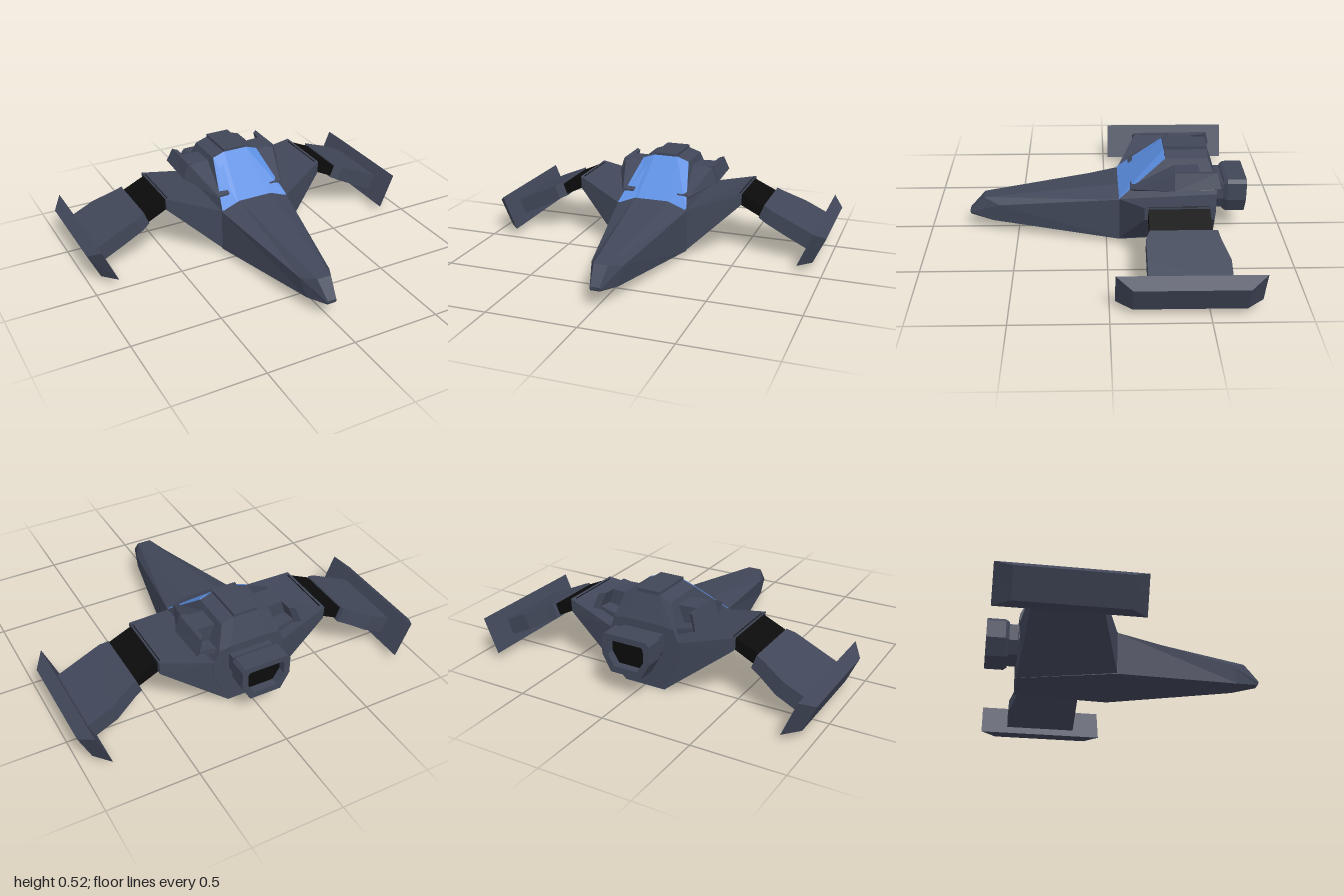
import * as THREE from 'three';

const mat = (name, color) => {
  const m = new THREE.MeshStandardMaterial({ color });
  m.name = name;
  m.flatShading = true;
  return m;
};

// Closed solid through matching rings of [x, y, z]; winding is corrected by signed volume
function loft(rings) {
  const tris = [];
  const n = rings[0].length;
  for (let r = 0; r < rings.length - 1; r++) {
    for (let i = 0; i < n; i++) {
      const j = (i + 1) % n;
      const [a, b, c, d] = [rings[r][i], rings[r][j], rings[r + 1][j], rings[r + 1][i]];
      tris.push([a, b, c], [a, c, d]);
    }
  }
  const first = rings[0], last = rings[rings.length - 1];
  for (let i = 1; i < n - 1; i++) {
    tris.push([first[0], first[i + 1], first[i]], [last[0], last[i], last[i + 1]]);
  }
  const v = (p) => new THREE.Vector3(...p);
  let volume = 0;
  for (const [a, b, c] of tris) volume += v(a).dot(v(b).cross(v(c)));
  const pos = tris.flatMap(([a, b, c]) => (volume < 0 ? [...a, ...c, ...b] : [...a, ...b, ...c]));
  const geo = new THREE.BufferGeometry();
  geo.setAttribute('position', new THREE.Float32BufferAttribute(pos, 3));
  geo.computeVertexNormals();
  return geo;
}

// Symmetric ring from its +x half
const ring = (half) => [...half, ...half.map(([x, y, z]) => [-x, y, z]).reverse()];
// Flat ring at one z
const flat = (z, pts) => pts.map(([x, y]) => [x, y, z]);

export function createModel() {
  const model = new THREE.Group();
  model.name = 'starfighter';
  const hull = mat('hull slate', 0x414759);
  const dark = mat('black', 0x0b0b0b);
  const glass = mat('canopy blue', 0x5b8de0);
  glass.side = THREE.DoubleSide;

  const add = (name, geo, material) => {
    const mesh = new THREE.Mesh(geo, material);
    mesh.name = name;
    model.add(mesh);
    return mesh;
  };
  // Same solid on both sides
  const pair = (name, rings, material) => {
    add(name + 'Left', loft(rings), material);
    add(name + 'Right', loft(rings.map((r) => r.map(([x, y, z]) => [-x, y, z]))), material);
  };

  // Long tapering nose
  add('nose', loft([
    ring([[0.21, 0.03, -0.07], [0.21, 0.275, -0.07], [0.1, 0.32, -0.065]]),
    ring([[0.07, 0.08, 0.64], [0.09, 0.185, 0.6], [0.04, 0.213, 0.69]]),
    ring([[0.025, 0.1, 0.77], [0.028, 0.112, 0.775], [0.025, 0.122, 0.775]]),
  ]), hull);

  // Rear body
  add('rearBody', loft([
    ring([[0.21, 0.03, -0.07], [0.21, 0.15, -0.07], [0.21, 0.278, -0.07]]),
    ring([[0.12, 0.005, -0.605], [0.21, 0.2, -0.605], [0.21, 0.3, -0.605]]),
  ]), hull);

  // Cockpit housing
  const sill = [[0.21, 0.275, -0.07], [0.207, 0.279, -0.07], [0.1, 0.282, -0.07]];
  const brow = [[0.21, 0.28, -0.32], [0.14, 0.488, -0.32], [0.07, 0.512, -0.32]];
  add('cockpitHousing', loft([
    ring(sill),
    ring(brow),
    ring(brow.map(([x, y]) => [x, y, -0.555])),
    ring([[0.21, 0.28, -0.605], [0.18, 0.36, -0.605], [0.11, 0.37, -0.605]]),
  ]), hull);
  const roof = add('roofPanel', new THREE.BoxGeometry(0.14, 0.025, 0.24), hull);
  roof.position.set(0, 0.516, -0.436);

  // Windscreen plate lying on the slanted front
  const lift = (p, d) => [p[0], p[1] + d, p[2] + d];
  const plate = (d) => [sill, brow].map((h) => ring(h.slice(1).map((p) => lift(p, d))));
  const [lo, hi] = plate(0.003);
  const [loIn, hiIn] = plate(-0.001);
  add('windscreen', loft([[...lo, ...loIn.reverse()], [...hi, ...hiIn.reverse()]]), glass);

  // Side pods with an open rear scoop
  const podEnd = [[0.17, 0.34], [0.2, 0.34], [0.305, 0.37], [0.275, 0.46], [0.13, 0.455]];
  pair('sidePod', [
    flat(-0.13, [[0.15, 0.32], [0.19, 0.32], [0.205, 0.335], [0.2, 0.345], [0.13, 0.345]]),
    flat(-0.37, podEnd),
    flat(-0.5, podEnd),
  ], hull);
  pair('podFin', [
    flat(-0.36, [[0.27, 0.36], [0.31, 0.37], [0.28, 0.464], [0.245, 0.458]]),
    [[0.285, 0.368, -0.585], [0.31, 0.385, -0.612], [0.28, 0.465, -0.59], [0.255, 0.46, -0.57]],
  ], hull);
  pair('podFloor', [
    flat(-0.48, [[0.17, 0.33], [0.2, 0.335], [0.3, 0.368], [0.29, 0.382], [0.17, 0.36]]),
    flat(-0.58, [[0.17, 0.33], [0.2, 0.335], [0.3, 0.375], [0.29, 0.388], [0.17, 0.36]]),
  ], hull);

  // Wing station: front top, rear top, rear bottom, front bottom
  const station = (x, top, xb, bottom, zf, zr) =>
    [[x, top, zf], [x, top, zr], [xb, bottom, zr], [xb, bottom, zf]];
  pair('innerWing', [
    [[0.205, 0.275, -0.07], [0.205, 0.295, -0.605], [0.12, 0.006, -0.605], [0.205, 0.03, -0.07]],
    station(0.495, 0.372, 0.492, 0.3, -0.19, -0.557),
  ], hull);
  pair('wingJoint', [
    station(0.48, 0.37, 0.46, 0.312, -0.21, -0.53),
    station(0.64, 0.296, 0.61, 0.238, -0.21, -0.53),
  ], dark);
  pair('outerWing', [
    station(0.625, 0.312, 0.595, 0.235, -0.21, -0.557),
    station(0.67, 0.291, 0.64, 0.213, -0.19, -0.567),
    station(0.79, 0.235, 0.755, 0.152, -0.19, -0.608),
    station(0.925, 0.172, 0.89, 0.085, -0.19, -0.608),
  ], hull);

  // Bevelled wingtip plates
  pair('wingtipPlate', [
    station(0.94, 0.238, 0.858, 0.045, -0.028, -0.768),
    station(1.0, 0.19, 0.932, 0.042, -0.112, -0.68),
  ], hull);

  // Engine neck and hollow nozzle
  const neck = ring([[0.08, 0.16, 0], [0.12, 0.23, 0], [0.12, 0.325, 0]]);
  add('engineNeck', loft([flat(-0.59, neck), flat(-0.68, neck)]), hull);
  const outline = [[0.09, 0.14], [0.14, 0.23], [0.14, 0.33], [0.125, 0.35]];
  const full = ring(outline.map(([x, y]) => [x, y, 0]));
  const inset = full.map(([x, y]) => [x * 0.76, 0.25 + (y - 0.25) * 0.68]);
  const shape = new THREE.Shape(full.map(([x, y]) => new THREE.Vector2(x, y)));
  shape.holes.push(new THREE.Path(inset.map(([x, y]) => new THREE.Vector2(x, y))));
  const nozzle = add('engineNozzle',
    new THREE.ExtrudeGeometry(shape, { depth: 0.105, bevelEnabled: false }), hull);
  nozzle.position.z = -0.78;
  add('nozzleFront', loft([
    flat(-0.655, full.map(([x, y]) => [x * 0.9, 0.25 + (y - 0.25) * 0.9])),
    flat(-0.675, full),
  ]), hull);
  add('exhaust', loft([flat(-0.675, inset), flat(-0.735, inset)]), dark);

  return model;
}
